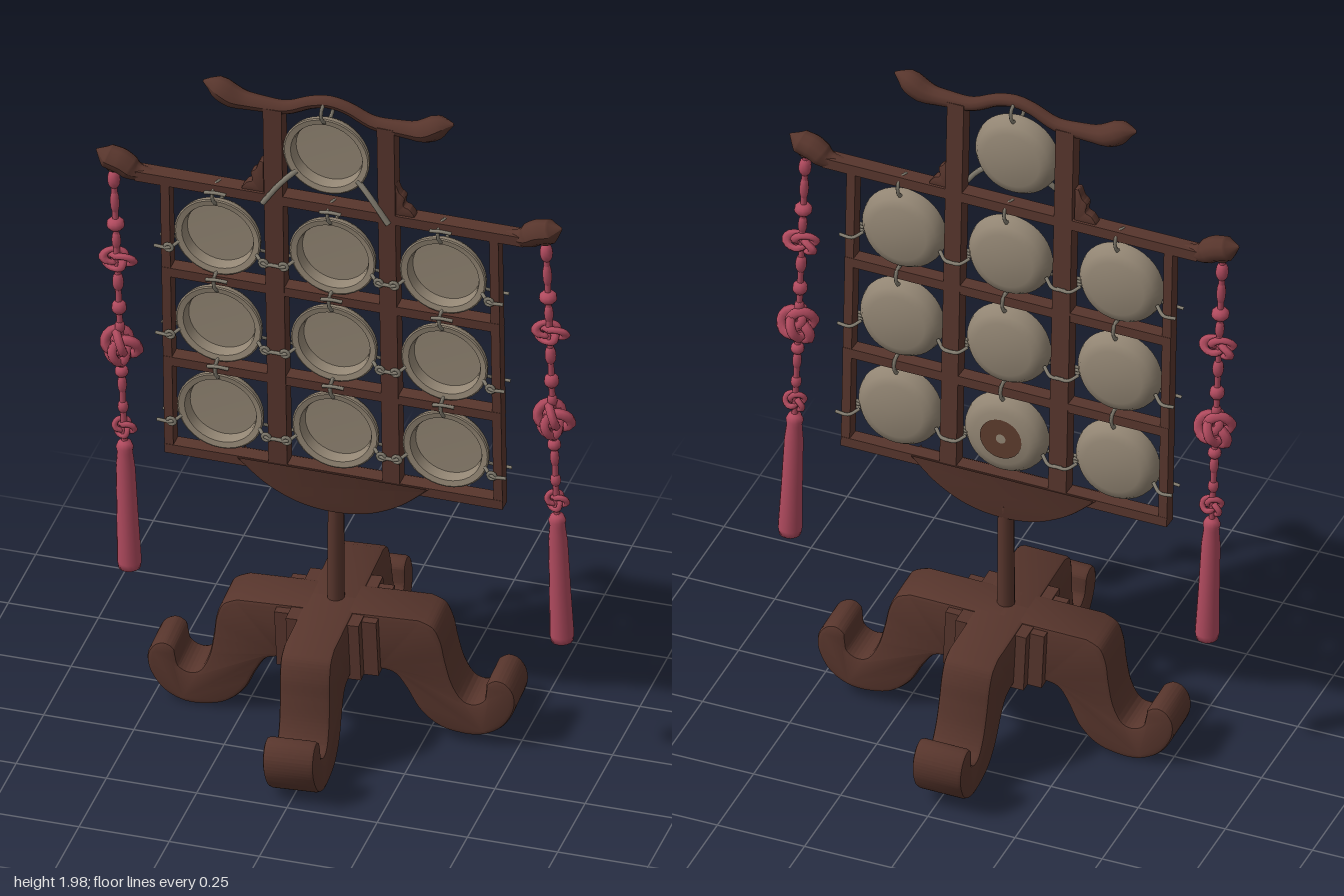
import * as THREE from 'three';
import { toCreasedNormals } from 'three/addons/utils/BufferGeometryUtils.js';

const mat = (name, color) => Object.assign(new THREE.MeshStandardMaterial({ color }), { name });
const V = (x, y, z = 0) => new THREE.Vector3(x, y, z);

export function createModel() {
  const wood = mat('dark wood', 0x57352c);
  const bronze = mat('dull bronze', 0x928573);
  const rust = mat('rust', 0x5c3b2c);
  const cord = mat('grey cord', 0x837d70);
  const silk = mat('red silk', 0xb04a5e);

  const root = new THREE.Group();
  const add = (parent, name, geometry, material, x = 0, y = 0, z = 0) => {
    const mesh = new THREE.Mesh(geometry, material);
    mesh.name = name;
    mesh.position.set(x, y, z);
    parent.add(mesh);
    return mesh;
  };
  const group = (parent, name) => {
    const g = new THREE.Group();
    g.name = name;
    parent.add(g);
    return g;
  };
  const box = (parent, name, x0, x1, y0, y1, depth) =>
    add(parent, name, new THREE.BoxGeometry(x1 - x0, y1 - y0, depth), wood, (x0 + x1) / 2, (y0 + y1) / 2, 0);
  const slab = (shape, depth, bevel) => {
    const g = new THREE.ExtrudeGeometry(shape, {
      depth: depth - 2 * bevel, curveSegments: 36, bevelThickness: bevel,
      bevelSize: bevel, bevelOffset: -bevel, bevelSegments: 2,
    });
    g.translate(0, 0, bevel - depth / 2);
    return toCreasedNormals(g, 0.6);
  };
  const tube = (points, r) =>
    new THREE.TubeGeometry(new THREE.CatmullRomCurve3(points), 4 * points.length, r, 6);

  // Tube whose radius follows a list of values along its path
  const taperedTube = (points, radii) => {
    const curve = new THREE.CatmullRomCurve3(points);
    const n = 40, sides = 10;
    const g = new THREE.TubeGeometry(curve, n, 1, sides);
    const p = g.attributes.position, v = new THREE.Vector3();
    for (let i = 0; i < p.count; i++) {
      const t = Math.floor(i / (sides + 1)) / n;
      const f = t * (radii.length - 1), k = Math.min(Math.floor(f), radii.length - 2);
      const r = THREE.MathUtils.lerp(radii[k], radii[k + 1], f - k);
      const c = curve.getPointAt(t);
      v.fromBufferAttribute(p, i).sub(c).multiplyScalar(r).add(c);
      p.setXYZ(i, v.x, v.y, v.z);
    }
    g.computeVertexNormals();
    return g;
  };

  // Base: four curled legs around a stepped hub
  const base = group(root, 'base');
  base.rotation.set(0.022, 0.03, 0.035);
  base.position.x = -0.005;
  const legShape = new THREE.Shape();
  legShape.moveTo(0, 0.2);
  legShape.lineTo(0.13, 0.205);
  legShape.splineThru([
    [0.175, 0.195], [0.205, 0.155], [0.24, 0.09], [0.29, 0.045], [0.35, 0.028], [0.41, 0.03],
    [0.465, 0.06], [0.5, 0.115], [0.505, 0.165], [0.485, 0.2], [0.455, 0.21], [0.43, 0.195],
    [0.425, 0.17], [0.418, 0.142], [0.39, 0.127], [0.36, 0.138], [0.335, 0.185], [0.32, 0.25],
    [0.31, 0.31], [0.29, 0.355], [0.25, 0.375],
  ].map(([x, y]) => new THREE.Vector2(x, y)));
  legShape.lineTo(0, 0.375);
  const legGeometry = slab(legShape, 0.142, 0.012);
  for (let i = 0; i < 4; i++) add(base, 'leg', legGeometry, wood).rotation.y = i * Math.PI / 2;
  box(base, 'hubWide', -0.14, 0.14, 0.2, 0.366, 0.19);
  box(base, 'hubDeep', -0.1, 0.1, 0.2, 0.37, 0.25);
  add(root, 'pole', new THREE.CylinderGeometry(0.022, 0.024, 0.36, 12), wood, -0.013, 0.52, 0.01);

  // Frame leans forward a little
  const frame = group(root, 'frame');
  frame.rotation.set(0.046, -0.012, 0);
  frame.position.z = -0.013;
  box(frame, 'outerPost', -0.48, -0.455, 0.76, 1.63, 0.04);
  box(frame, 'outerPost', 0.435, 0.46, 0.76, 1.63, 0.04);
  box(frame, 'innerPost', -0.19, -0.138, 0.77, 1.93, 0.045);
  box(frame, 'innerPost', 0.127, 0.175, 0.77, 1.93, 0.045);
  for (const y of [0.773, 1.057, 1.345]) box(frame, 'crossbar', -0.48, 0.46, y - 0.014, y + 0.014, 0.042);
  box(frame, 'topBar', -0.55, 0.53, 1.624, 1.654, 0.045);

  // Carved ends of the top bar
  for (const s of [-1, 1]) {
    const x = (d) => -0.015 + s * d;
    add(frame, 'barFinial', taperedTube(
      [V(x(0.49), 1.638), V(x(0.54), 1.642), V(x(0.58), 1.665), V(x(0.615), 1.675), V(x(0.648), 1.69)],
      [0.016, 0.022, 0.034, 0.036, 0.034, 0.002]), wood);
    add(frame, 'finialScroll', new THREE.SphereGeometry(0.026, 10, 8), wood, x(0.6), 1.655, 0);
    // Scrolled brackets beside the raised centre
    const bracket = new THREE.Shape();
    bracket.moveTo(0, 0);
    bracket.splineThru([[0.06, 0], [0.05, 0.025], [0.033, 0.035], [0.036, 0.06], [0.022, 0.075], [0.012, 0.1], [0, 0.1]]
      .map(([a, b]) => new THREE.Vector2(a, b)));
    const b = add(frame, 'bracket', slab(bracket, 0.03, 0.004), wood, x(0.178), 1.65, 0);
    if (s < 0) b.rotation.y = Math.PI;
  }

  // Curved yoke across the top
  add(frame, 'yoke', taperedTube(
    [V(-0.362, 1.972), V(-0.325, 1.963), V(-0.275, 1.937), V(-0.2, 1.93), V(-0.13, 1.932), V(-0.06, 1.962), V(-0.012, 1.972),
      V(0.04, 1.962), V(0.11, 1.93), V(0.18, 1.926), V(0.25, 1.93), V(0.3, 1.957), V(0.336, 1.968)],
    [0.003, 0.034, 0.034, 0.026, 0.023, 0.021, 0.019, 0.018, 0.018, 0.018, 0.018, 0.019, 0.021, 0.023, 0.026, 0.034, 0.034, 0.003]), wood);

  // Crescent board under the frame
  const crescent = new THREE.Shape();
  crescent.moveTo(-0.275, 0.785);
  crescent.splineThru([[-0.2, 0.72], [-0.11, 0.676], [-0.01, 0.662], [0.09, 0.676], [0.18, 0.72], [0.255, 0.785]]
    .map(([a, b]) => new THREE.Vector2(a, b)));
  add(frame, 'crescentBoard', slab(crescent, 0.06, 0.006), wood);

  // Gongs: shallow pans, open to the front
  const gongGeometry = toCreasedNormals(new THREE.LatheGeometry([
    [0, -0.034], [0.08, -0.033], [0.103, -0.024], [0.117, -0.004], [0.12, 0.012], [0.116, 0.014],
    [0.1, 0.011], [0.096, 0], [0.094, -0.02], [0, -0.022],
  ].map(([r, y]) => new THREE.Vector2(r, y)), 36), 0.6);
  const hookGeometry = new THREE.TorusGeometry(0.026, 0.005, 6, 14);
  const wrapGeometry = new THREE.TorusGeometry(0.011, 0.005, 5, 10);
  const makeGong = (x, y) => {
    const g = group(frame, 'gong');
    g.position.set(x, y, 0);
    add(g, 'gongPan', gongGeometry, bronze).rotation.x = Math.PI / 2;
    const hook = add(g, 'hangingLoop', hookGeometry, cord, 0, 0.138, 0);
    hook.rotation.y = 1.2;
    hook.scale.y = 1.3;
    return g;
  };
  for (const y of [1.48, 1.198, 0.917]) {
    for (const x of [-0.325, -0.005, 0.302]) {
      const g = makeGong(x, y);
      for (const s of [-1, 1]) {
        add(g, 'sideCord', tube([V(s * 0.108, -0.035, 0.012), V(s * 0.13, -0.048, 0.028), V(s * 0.172, -0.05, 0.027)], 0.005), cord);
        add(g, 'cordKnot', wrapGeometry, cord, s * 0.132, -0.048, 0.028);
        add(g, 'backCord', tube([V(s * 0.11, -0.035, -0.01), V(s * 0.135, -0.05, -0.027), V(s * 0.172, -0.05, -0.026)], 0.005), cord);
      }
      add(g, 'loopTie', tube([V(-0.03, 0.148, 0.026), V(0, 0.153, 0.028), V(0.03, 0.15, 0.026)], 0.005), cord);
      // Worn patch behind the lowest middle gong
      if (y < 1 && Math.abs(x) < 0.1)
        add(g, 'rustPatch', new THREE.RingGeometry(0.014, 0.06, 24), rust, 0, 0, -0.0365).rotation.y = Math.PI;
    }
  }
  const topGong = makeGong(-0.018, 1.803);
  for (const s of [-1, 1])
    add(topGong, 'stayCord', tube([V(s * 0.085, -0.065, 0.008), V(s * 0.125, -0.105, 0.022), V(s * 0.175, -0.175, 0.028)], 0.008), cord);

  // Silk tassels hanging from the bar ends
  const skirtGeometry = new THREE.LatheGeometry([
    [0, 0.39], [0.03, 0.39], [0.033, 0.41], [0.029, 0.55], [0.026, 0.7], [0.021, 0.75], [0.024, 0.765], [0.018, 0.78], [0, 0.79],
  ].map(([r, y]) => new THREE.Vector2(r, y)), 14);
  const bead = new THREE.SphereGeometry(1, 10, 8);
  const knot = new THREE.TorusKnotGeometry(0.03, 0.013, 48, 6, 2, 3);
  for (const [x, z, name] of [[-0.615, 0.05, 'rightTassel'], [0.587, 0.063, 'leftTassel']]) {
    const t = group(root, name);
    t.rotation.z = 0.036;
    t.position.set(x - 0.036 * -1.62, 0, z);
    t.position.x -= 0.002;
    add(t, 'silkCord', new THREE.CylinderGeometry(0.009, 0.009, 0.88, 8), silk, 0, 1.205, 0);
    add(t, 'skirt', skirtGeometry, silk);
    for (const [y, rx, ry] of [
      [1.6, 0.018, 0.03], [1.53, 0.013, 0.04], [1.46, 0.025, 0.02], [1.41, 0.013, 0.03], [1.28, 0.016, 0.03],
      [1.2, 0.021, 0.022], [1.14, 0.014, 0.02], [1.0, 0.019, 0.018], [0.96, 0.013, 0.03], [0.89, 0.015, 0.02],
    ]) add(t, 'silkBead', bead, silk, 0, y, 0).scale.set(rx, ry, rx);
    add(t, 'flatKnot', knot, silk, 0, 1.35, 0).scale.set(1, 0.65, 0.8);
    add(t, 'flowerKnot', knot, silk, 0, 1.08, 0).scale.set(1.1, 1.1, 1.1);
    add(t, 'flowerKnotCore', knot, silk, 0, 1.08, 0).rotation.y = Math.PI / 2;
    const collar = add(t, 'collarKnot', knot, silk, 0, 0.825, 0);
    collar.scale.set(0.65, 0.6, 0.65);
  }
  return root;
}
